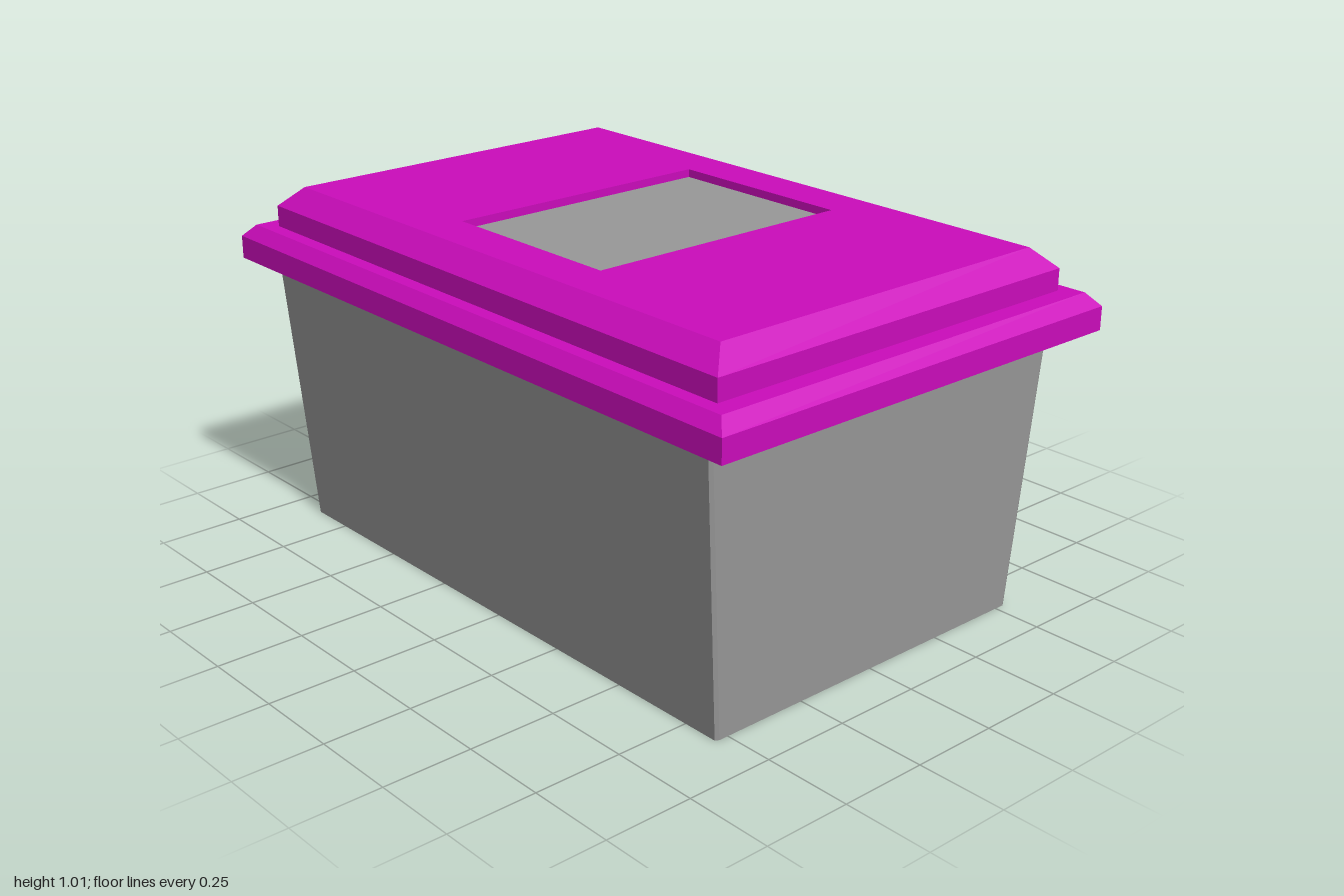
import * as THREE from 'three';

// Rectangular ring of corners, counter-clockwise from above; c > 0 chamfers the corners
function ring([hx, hz, y], c, cx) {
  const pts = [];
  for (const [sx, sz] of [[1, 1], [1, -1], [-1, -1], [-1, 1]]) {
    if (!c) {
      pts.push([cx + sx * hx, y, sz * hz]);
      continue;
    }
    const onX = [cx + sx * hx, y, sz * (hz - c)];
    const onZ = [cx + sx * (hx - c * 0.6), y, sz * hz];
    pts.push(...(sx * sz > 0 ? [onZ, onX] : [onX, onZ]));
  }
  return pts;
}

// Flat-faced skin through a list of [halfX, halfZ, y] sections
function loft(sections, { chamfer = 0, centreX = 0, caps = false } = {}) {
  const rings = sections.map((s) => ring(s, chamfer, centreX));
  const pos = [];
  const tri = (a, b, c) => pos.push(...a, ...b, ...c);
  const n = rings[0].length;
  for (let r = 0; r < rings.length - 1; r++) {
    for (let i = 0; i < n; i++) {
      const j = (i + 1) % n;
      const lo = rings[r], hi = rings[r + 1];
      tri(lo[i], lo[j], hi[j]);
      tri(lo[i], hi[j], hi[i]);
    }
  }
  if (caps) {
    const bottom = rings[0], top = rings[rings.length - 1];
    for (let i = 1; i < n - 1; i++) {
      tri(bottom[0], bottom[i + 1], bottom[i]);
      tri(top[0], top[i], top[i + 1]);
    }
  }
  const geo = new THREE.BufferGeometry();
  geo.setAttribute('position', new THREE.Float32BufferAttribute(pos, 3));
  geo.computeVertexNormals();
  return geo;
}

export function createModel() {
  const grey = new THREE.MeshStandardMaterial({ color: 0x999999 });
  grey.name = 'grey plastic';
  const magenta = new THREE.MeshStandardMaterial({ color: 0xcc0cbc });
  magenta.name = 'magenta plastic';

  const model = new THREE.Group();
  model.name = 'storageBox';
  const add = (name, geo, mat) => {
    const mesh = new THREE.Mesh(geo, mat);
    mesh.name = name;
    model.add(mesh);
    return mesh;
  };

  // Tapered container, set slightly to the right under the lid
  add('container', loft([[0.875, 0.538, 0], [0.905, 0.6, 0.805]],
    { chamfer: 0.01, centreX: -0.015, caps: true }), grey);

  // Stepped lid: underside, rim, raised panel, then the recess walls
  add('lid', loft([
    [0.88, 0.58, 0.8],
    [1, 0.667, 0.8],
    [1, 0.667, 0.865],
    [0.965, 0.637, 0.9],
    [0.91, 0.597, 0.9],
    [0.91, 0.597, 0.96],
    [0.855, 0.538, 1.015],
    [0.286, 0.407, 1.015],
    [0.286, 0.407, 0.992],
  ]), magenta);

  // Label panel at the bottom of the recess
  const panel = add('labelPanel', new THREE.PlaneGeometry(0.572, 0.814), grey);
  panel.rotation.x = -Math.PI / 2;
  panel.position.y = 0.992;

  return model;
}
